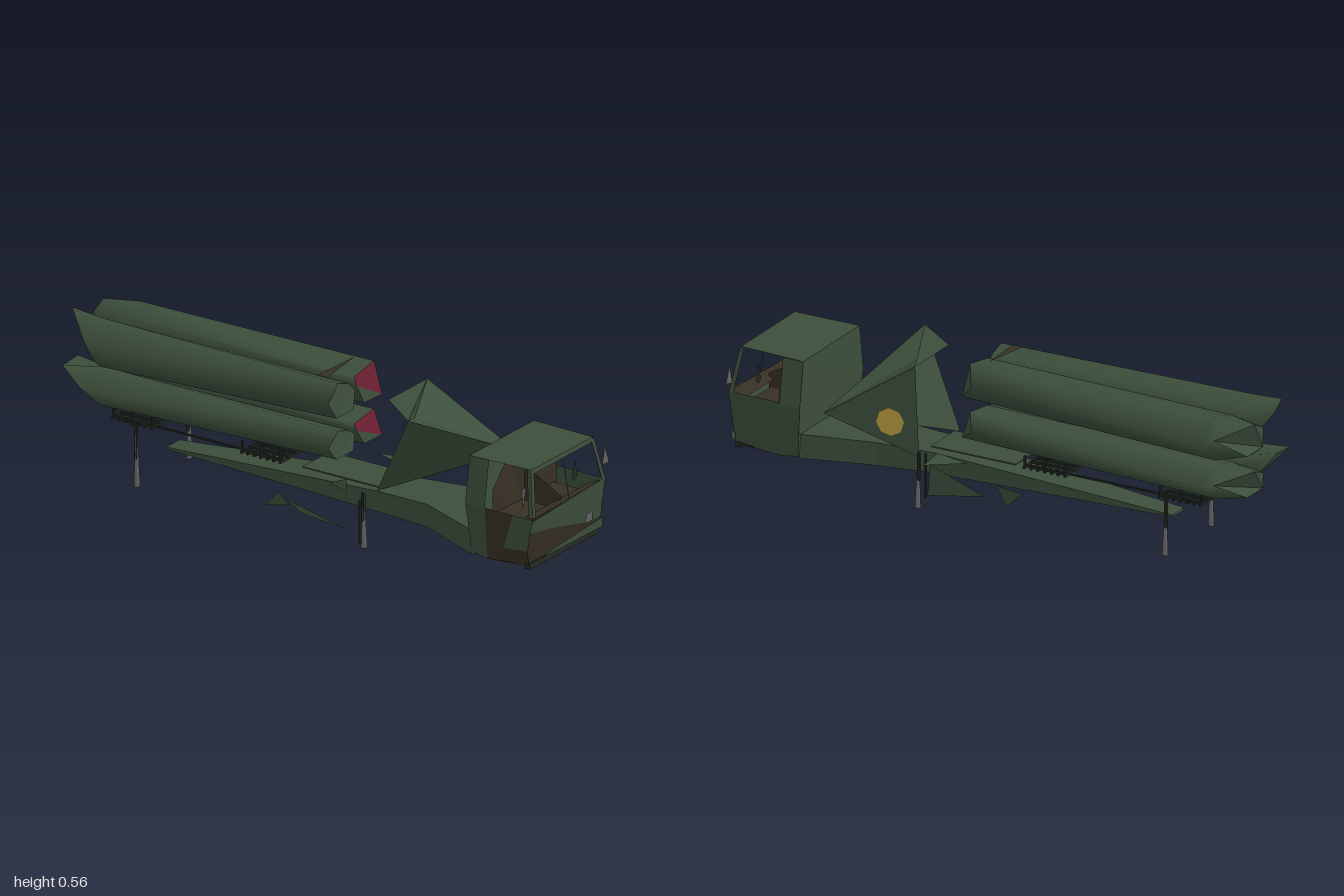
import * as THREE from 'three';

const mat = (name, color) => new THREE.MeshStandardMaterial({ name, color, side: THREE.DoubleSide });

export function createModel() {
  const model = new THREE.Group();
  model.name = 'launcherTruck';
  const green = mat('army green', 0x3c4e3c);
  const brown = mat('dark brown', 0x362f24);
  const red = mat('deep red', 0x6c1f33);
  const yellow = mat('ochre yellow', 0xb8993e);
  const grey = mat('steel grey', 0x646468);
  const dark = mat('dark green', 0x232b24);

  const add = (name, geo, material, parent = model) => {
    const m = new THREE.Mesh(geo, material);
    m.name = name;
    parent.add(m);
    return m;
  };
  // Flat polygons, each a list of corners, as fans of triangles
  const panels = (name, material, polys, parent = model) => {
    const pos = [];
    for (const p of polys)
      for (let i = 1; i < p.length - 1; i++) pos.push(...p[0], ...p[i], ...p[i + 1]);
    const g = new THREE.BufferGeometry();
    g.setAttribute('position', new THREE.Float32BufferAttribute(pos, 3));
    g.computeVertexNormals();
    return add(name, g, material, parent);
  };
  // Skin between rings of equal length
  const loft = (name, material, rings, smooth, parent = model) => {
    const n = rings[0].length, idx = [];
    for (let r = 0; r < rings.length - 1; r++)
      for (let i = 0; i < n; i++) {
        const a = r * n + i, b = r * n + (i + 1) % n;
        idx.push(a, a + n, b, b, a + n, b + n);
      }
    let g = new THREE.BufferGeometry();
    g.setAttribute('position', new THREE.Float32BufferAttribute(rings.flat(2), 3));
    g.setIndex(idx);
    if (!smooth) g = g.toNonIndexed();
    g.computeVertexNormals();
    return add(name, g, material, parent);
  };
  const box = (name, material, x0, x1, y0, y1, z0, z1, parent = model) =>
    add(name, new THREE.BoxGeometry(x1 - x0, y1 - y0, z1 - z0), material, parent)
      .position.set((x0 + x1) / 2, (y0 + y1) / 2, (z0 + z1) / 2);

  // Launch tubes: rear ring, then shoulder and front rings shared by each column
  const rightRear = [[-1, 0.425, -0.035], [-1, 0.495, -0.03], [-1, 0.525, -0.09], [-0.9, 0.48, -0.195], [-1, 0.425, -0.14], [-1, 0.42, -0.07]];
  const rightRings = [
    [[-0.87, 0.45, -0.02], [-0.87, 0.515, -0.03], [-0.87, 0.535, -0.12], [-0.85, 0.46, -0.2], [-0.87, 0.382, -0.13], [-0.87, 0.385, -0.05]],
    [[0.1, 0.49, -0.01], [0.09, 0.52, -0.01], [0.09, 0.54, -0.127], [0.05, 0.48, -0.19], [0.115, 0.42, -0.14], [0.11, 0.42, -0.04]],
  ];
  const upperLeftRear = [[-0.96, 0.46, 0.01], [-1, 0.525, 0.05], [-1, 0.555, 0.095], [-0.9, 0.48, 0.17], [-0.89, 0.4, 0.13], [-0.91, 0.4, 0.04]];
  const lowerLeftRear = [[-0.96, 0.46, 0.01], [-1, 0.545, 0.06], [-1, 0.535, 0.15], [-0.92, 0.47, 0.172], [-0.89, 0.4, 0.13], [-0.91, 0.4, 0.04]];
  const leftRings = [
    [[-0.87, 0.45, 0.005], [-0.87, 0.51, 0.04], [-0.87, 0.547, 0.1], [-0.83, 0.47, 0.18], [-0.86, 0.382, 0.13], [-0.87, 0.385, 0.04]],
    [[0.1, 0.48, 0], [0.1, 0.515, 0.04], [0.1, 0.535, 0.1], [0.105, 0.48, 0.165], [0.115, 0.42, 0.13], [0.115, 0.42, 0.03]],
  ];
  const tube = (name, rings, lower, capMat) => {
    const tubeGroup = new THREE.Group();
    tubeGroup.name = name;
    model.add(tubeGroup);
    const r = rings.map(ring => ring.map(([x, y, z]) => [x, lower ? 0.306 + (y - 0.465) * 0.78 : y, z]));
    loft('tubeShell', green, r, true, tubeGroup);
    panels('rearEnd', green, [r[0]], tubeGroup);
    const [a, b, c, d, e, f] = r[2];
    panels('frontCap', capMat, [[a, b, c, e]], tubeGroup);
    panels('frontRim', green, [[c, d, e], [a, e, f]], tubeGroup);
  };
  tube('upperRightTube', [rightRear, ...rightRings], false, red);
  tube('lowerRightTube', [rightRear, ...rightRings], true, red);
  tube('upperLeftTube', [upperLeftRear, ...leftRings], false, green);
  tube('lowerLeftTube', [lowerLeftRear, ...leftRings], true, green);
  panels('tubeStrap', brown, [[[0.01, 0.542, 0.09], [0.05, 0.542, 0.09], [0.03, 0.55, -0.1]]]);

  // Tapering chassis
  const section = (x, y0, y1, z0, z1) => [[x, y0, z0], [x, y1, z0], [x, y1, z1], [x, y0, z1]];
  loft('chassis', green, [
    section(-0.65, 0.1, 0.107, -0.04, 0.04),
    section(0.25, 0.095, 0.17, -0.09, 0.08),
    section(0.46, 0.092, 0.175, -0.12, 0.09),
    section(0.72, 0.09, 0.178, -0.19, 0.2),
  ], false);
  box('turretPlate', green, -0.06, 0.27, 0.183, 0.188, -0.08, 0.08);

  // Angular housing behind the cab, open at the rear
  const A = [0.28, 0.505, -0.17], B = [0.28, 0.505, 0.06], C = [0.445, 0.505, 0.18];
  const D = [0.6, 0.295, -0.235], E = [0.265, 0.18, -0.17], F = [0.26, 0.18, 0.1], G = [0.375, 0.455, 0.04];
  panels('housing', green, [[A, B, C], [A, C, G], [C, G, D], [A, G, D], [A, D, E], [C, F, D]]);
  // Round mark lying on the right face of the housing
  const [pa, pd, pe] = [A, D, E].map(p => new THREE.Vector3(...p));
  const normal = pd.clone().sub(pa).cross(pe.clone().sub(pa)).normalize();
  if (normal.z > 0) normal.negate();
  const mark = add('roundMark', new THREE.CircleGeometry(0.05, 8), yellow);
  mark.position.addScaledVector(pa, 0.25).addScaledVector(pd, 0.29)
    .addScaledVector(pe, 0.46).addScaledVector(normal, 0.004);
  mark.quaternion.setFromUnitVectors(new THREE.Vector3(0, 0, 1), normal);

  // Cab shell
  const cab = new THREE.Group();
  cab.name = 'cab';
  model.add(cab);
  panels('roof', green, [[[0.705, 0.445, -0.19], [0.955, 0.447, -0.18], [0.955, 0.447, 0.185], [0.705, 0.445, 0.19]]], cab);
  panels('backWall', green, [[[0.705, 0.445, -0.19], [0.705, 0.445, 0.19], [0.705, 0.28, 0.215],
    [0.72, 0.1, 0.2], [0.72, 0.1, -0.2], [0.705, 0.28, -0.215]]], cab);
  for (const s of [-1, 1]) {
    panels('rearPillar', green, [[[0.705, 0.445, s * 0.19], [0.785, 0.445, s * 0.19],
      [0.785, 0.28, s * 0.215], [0.705, 0.28, s * 0.215]]], cab);
    panels('rearQuarter', green, [[[0.705, 0.28, s * 0.215], [0.785, 0.28, s * 0.215],
      [0.785, 0.09, s * 0.2], [0.72, 0.1, s * 0.2]]], cab);
    panels('frontPillar', green, [
      [[0.955, 0.447, s * 0.185], [0.957, 0.435, s * 0.17], [0.983, 0.285, s * 0.198], [0.983, 0.285, s * 0.215]],
      [[0.955, 0.447, s * 0.185], [0.94, 0.447, s * 0.185], [0.965, 0.285, s * 0.215], [0.983, 0.285, s * 0.215]],
    ], cab);
  }
  panels('mirror', grey, [
    [[0.96, 0.4, 0.223], [0.97, 0.4, 0.26], [0.965, 0.32, 0.247]],
    [[0.965, 0.4, -0.237], [0.97, 0.332, -0.256], [0.96, 0.33, -0.229]],
  ], cab);
  panels('rightDoor', green, [[[0.785, 0.29, -0.215], [0.983, 0.29, -0.215], [0.96, 0.11, -0.205], [0.785, 0.09, -0.2]]], cab);
  panels('leftDoorFront', green, [[[0.9, 0.28, 0.215], [0.983, 0.28, 0.215], [0.966, 0.165, 0.222], [0.86, 0.15, 0.21]]], cab);
  panels('leftDoorRear', brown, [
    [[0.785, 0.28, 0.215], [0.9, 0.28, 0.215], [0.86, 0.15, 0.21], [0.785, 0.09, 0.2]],
    [[0.86, 0.15, 0.21], [0.966, 0.165, 0.222], [0.96, 0.11, 0.205], [0.785, 0.09, 0.2]],
  ], cab);

  // Cab nose, with the dark lower part and the windscreen frame
  panels('nose', green, [[[0.983, 0.275, 0.215], [0.983, 0.295, -0.215], [0.965, 0.15, -0.213],
    [0.965, 0.15, -0.15], [0.97, 0.19, 0.06], [0.976, 0.232, 0.22]]], cab);
  panels('noseLower', brown, [[[0.976, 0.232, 0.22], [0.97, 0.19, 0.06], [0.965, 0.15, -0.15],
    [0.965, 0.15, -0.213], [0.955, 0.1, -0.2], [0.955, 0.1, 0.2], [0.966, 0.165, 0.222]]], cab);
  panels('bumper', green, [[[0.972, 0.147, -0.213], [0.97, 0.112, -0.215], [0.97, 0.115, 0.15], [0.972, 0.132, 0.05]]], cab);
  box('bumperBase', dark, 0.94, 0.962, 0.09, 0.112, -0.205, 0.2, cab);
  panels('noseHatch', grey, [[[0.976, 0.193, -0.115], [0.976, 0.193, -0.15], [0.971, 0.155, -0.155], [0.971, 0.155, -0.11]]], cab);
  panels('windscreenTop', green, [[[0.955, 0.447, -0.18], [0.955, 0.447, 0.185], [0.957, 0.43, 0.17], [0.957, 0.43, -0.17]]], cab);
  panels('windscreenPost', green, [[[0.957, 0.435, -0.003], [0.957, 0.435, 0.003], [0.983, 0.285, 0.003], [0.983, 0.285, -0.003]]], cab);

  // Cab floor and seats
  panels('cabFloor', brown, [[[0.72, 0.1, -0.2], [0.785, 0.09, -0.2], [0.955, 0.1, -0.2],
    [0.955, 0.1, 0.2], [0.785, 0.09, 0.2], [0.72, 0.1, 0.2]]], cab);
  for (const s of [-1, 1])
    panels('seat', brown, [
      [[0.8, 0.2, 0], [0.8, 0.36, 0], [0.78, 0.425, s * 0.065], [0.8, 0.34, s * 0.19], [0.8, 0.2, s * 0.19]],
      [[0.8, 0.25, s * 0.02], [0.93, 0.25, s * 0.02], [0.93, 0.25, s * 0.17], [0.8, 0.25, s * 0.17]],
    ], cab);
  panels('centreDivider', brown, [[[0.8, 0.37, 0], [0.95, 0.29, 0], [0.95, 0.12, 0], [0.8, 0.12, 0]]], cab);
  panels('dashboard', brown, [[[0.98, 0.29, -0.2], [0.98, 0.28, 0.2], [0.93, 0.27, 0.19], [0.93, 0.27, -0.19]]], cab);
  panels('steeringWheel', dark, [[[0.92, 0.375, -0.125], [0.92, 0.31, -0.14], [0.92, 0.3, -0.12], [0.92, 0.31, -0.105]]], cab);

  // Loose mudguard and side plates
  panels('frontMudguard', green, [
    [[0.22, 0.055, -0.19], [-0.01, 0.1, -0.2], [0.215, 0.165, -0.18]],
    [[0.2, 0.055, 0.19], [-0.05, 0.115, 0.2], [0.02, 0.075, 0.2]],
  ]);
  panels('rearMudguard', green, [
    [[-0.16, 0.14, -0.2], [-0.06, 0.155, -0.21], [-0.09, 0.08, -0.2]],
    [[-0.125, 0.075, 0.21], [-0.07, 0.135, 0.21], [-0.03, 0.095, 0.2]],
  ]);
  panels('sidePlate', green, [
    [[0.08, 0.19, -0.16], [0.22, 0.175, -0.22], [0.22, 0.185, -0.12]],
    [[0.1, 0.19, 0.15], [0.17, 0.22, 0.15], [0.18, 0.18, 0.165]],
  ]);

  // Stabiliser legs, wider at the foot, with slim poles beside the front pair
  for (const [x, z, top] of [[-0.68, 0.175, 0.235], [-0.68, -0.135, 0.235], [0.26, 0.18, 0.2], [0.26, -0.18, 0.2]]) {
    const leg = add('stabiliserLeg', new THREE.CylinderGeometry(0.003, 0.014, top, 3), grey);
    leg.position.set(x, top / 2, z);
    box('legSleeve', dark, x - 0.005, x + 0.005, 0.1, top, z - 0.005, z + 0.005);
  }
  for (const z of [-0.133, 0.2]) box('slimPole', dark, 0.257, 0.263, 0.02, 0.18, z - 0.004, z + 0.004);

  // Lattice cradles under the tubes
  for (const [x0, x1] of [[-0.81, -0.65], [-0.28, -0.12]]) {
    const cradle = new THREE.Group();
    cradle.name = 'cradle';
    model.add(cradle);
    for (let i = 0; i < 7; i++) {
      const x = x0 + (x1 - x0) * i / 6, z = -0.12 + 0.04 * i;
      box('crossBar', dark, x - 0.004, x + 0.004, 0.2, 0.208, -0.13, 0.13, cradle);
      box('lengthBar', dark, x0, x1, 0.205, 0.213, z - 0.004, z + 0.004, cradle);
      if (i % 3 === 0)
        for (const zz of [-0.12, 0, 0.12]) box('upright', dark, x - 0.004, x + 0.004, 0.2, 0.245, zz - 0.004, zz + 0.004, cradle);
    }
  }
  for (const z of [-0.1, 0.1]) box('linkRod', dark, -0.7, -0.13, 0.2, 0.206, z - 0.003, z + 0.003);

  return model;
}
